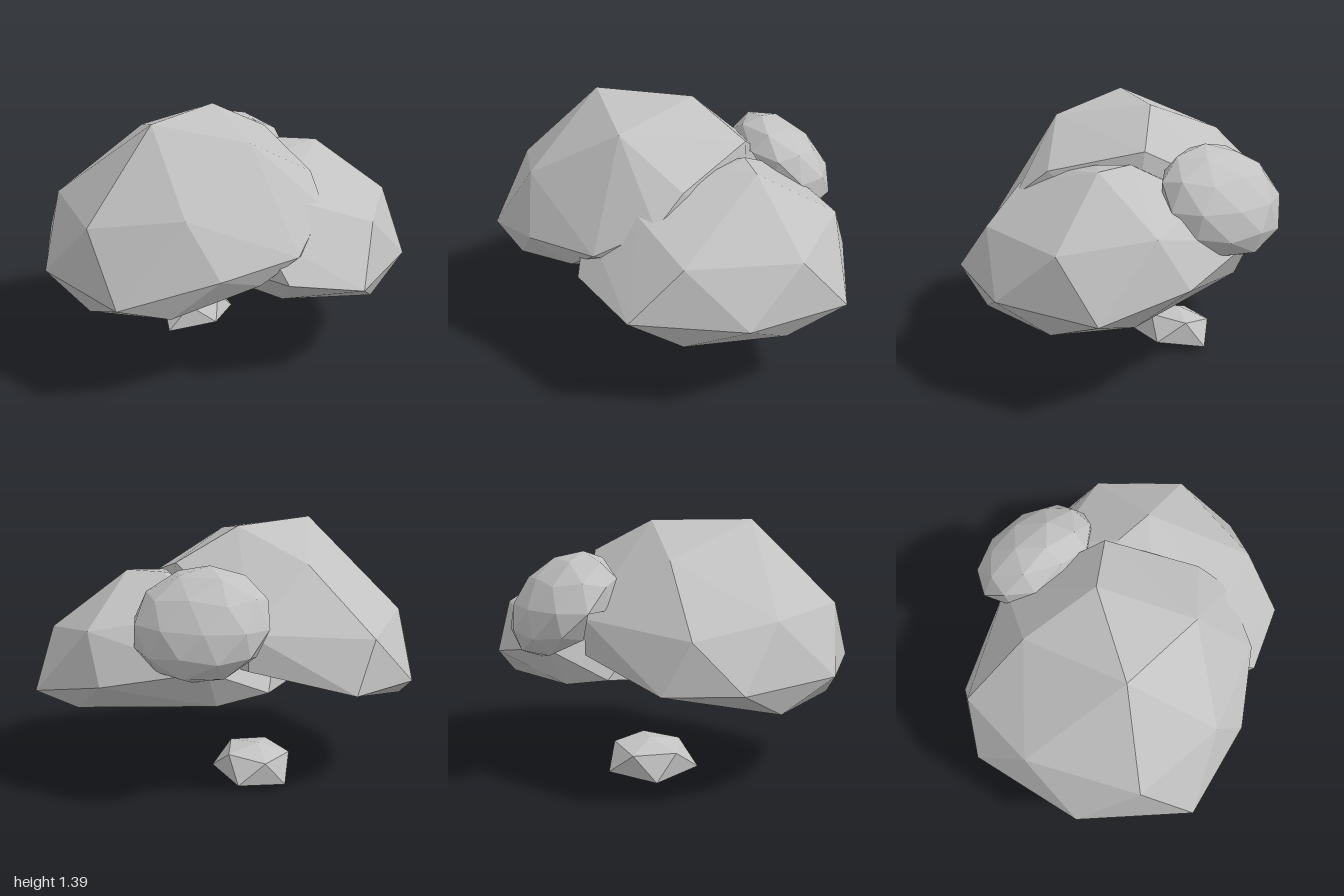
import * as THREE from 'three';
import { ConvexGeometry } from 'three/addons/geometries/ConvexGeometry.js';

const stone = new THREE.MeshStandardMaterial({ color: 0xc2c2c2, flatShading: true, side: THREE.DoubleSide });
stone.name = 'grey stone';

// Keeps only the triangles that pass the test and gives them flat normals
function keepFaces(geo, test) {
  const pos = geo.attributes.position;
  const out = [];
  for (let i = 0; i < pos.count; i += 3) {
    const tri = [0, 1, 2].map((k) => new THREE.Vector3().fromBufferAttribute(pos, i + k));
    if (test(tri)) tri.forEach((p) => out.push(p.x, p.y, p.z));
  }
  const result = new THREE.BufferGeometry();
  result.setAttribute('position', new THREE.Float32BufferAttribute(out, 3));
  result.computeVertexNormals();
  return result;
}

// Faceted shell over crown and rim points, left open inside the rim
function rockShell(name, crown, rim) {
  const toVec = (p) => new THREE.Vector3(...p);
  const rimPoints = rim.map(toVec);
  const hull = new ConvexGeometry([...crown.map(toVec), ...rimPoints]);
  const onRim = (p) => rimPoints.some((r) => r.distanceTo(p) < 1e-4);
  const normal = new THREE.Vector3();
  const geo = keepFaces(hull, (tri) => {
    new THREE.Triangle(...tri).getNormal(normal);
    return !(normal.y < -0.3 && tri.every(onRim));
  });
  const mesh = new THREE.Mesh(geo, stone);
  mesh.name = name;
  return mesh;
}

export function createModel() {
  const group = new THREE.Group();
  group.name = 'rockCluster';

  // Large front boulder
  group.add(rockShell('largeBoulder', [
    [-0.13, 0.6, 0.98], [-0.7, 0.61, 0.69], [-1, 0.61, 0.11], [0.33, 0.73, 0.73],
    [-0.37, 0.945, 0.81], [-0.8, 0.935, 0.34], [0.14, 1.03, 0.73],
    [-0.2, 1.395, 0.38], [0.3, 1.31, 0.24], [-0.07, 1.39, -0.15],
    [-0.51, 1.22, -0.15], [-0.9, 0.87, -0.13], [0.14, 1.21, -0.43],
    [0.53, 1.085, -0.09], [0.65, 0.94, 0.05], [0.62, 0.77, 0.37], [-0.42, 0.92, -0.58],
  ], [
    [-0.81, 0.455, 0.36], [-0.4, 0.455, 0.76], [0.09, 0.52, 0.81], [0.46, 0.64, 0.5],
    [0.6, 0.7, 0], [0.22, 0.76, -0.45], [-0.42, 0.73, -0.58], [-0.88, 0.6, -0.28],
  ]));

  // Second boulder, behind and beside it
  group.add(rockShell('sideBoulder', [
    [0.22, 0.64, -0.98], [0.71, 0.535, -0.935], [1, 0.55, -0.415], [0.93, 0.555, 0.19],
    [0.6, 0.64, 0.455], [0.8, 0.83, -0.685], [0.44, 1.15, -0.47], [0.36, 0.9, -0.9],
    [0.89, 0.84, -0.09], [0.62, 0.99, -0.09], [0.58, 0.98, 0.14], [0.42, 0.9, 0.42],
    [0.45, 1.09, -0.15], [0.34, 1.135, -0.28], [0.22, 1.15, -0.42],
    [-0.08, 0.98, -0.65], [-0.3, 0.75, -0.77], [0, 0.95, 0.15], [-0.38, 0.85, -0.25],
    [0.1, 0.68, 0.38],
  ], [
    [0.47, 0.465, -0.87], [0.8, 0.405, -0.62], [0.9, 0.405, -0.09], [0.5, 0.465, 0.26],
    [0, 0.54, 0.22], [-0.34, 0.56, 0.02], [-0.47, 0.6, -0.47], [-0.28, 0.545, -0.66],
  ]));

  // Small lens-shaped boulder leaning on the back slope
  const cap = keepFaces(new THREE.IcosahedronGeometry(1, 1),
    (tri) => (tri[0].y + tri[1].y + tri[2].y) / 3 > -0.3);
  cap.scale(0.37, 0.205, 0.33).rotateX(-Math.PI / 4).rotateY(0.22).translate(-0.185, 0.965, -0.66);
  const small = new THREE.Mesh(cap, stone);
  small.name = 'backBoulder';
  group.add(small);

  // Low loose stone on the ground
  group.add(rockShell('groundStone', [
    [-0.235, 0.21, -0.2], [-0.055, 0.195, -0.2], [-0.165, 0.175, -0.02],
    [-0.165, 0.18, -0.385], [-0.36, 0.145, -0.08], [-0.36, 0.145, -0.32],
  ], [
    [-0.41, 0, -0.2], [-0.26, 0.03, 0.065], [-0.015, 0.075, -0.07],
    [-0.015, 0.075, -0.325], [-0.26, 0.035, -0.435],
  ]));

  return group;
}
